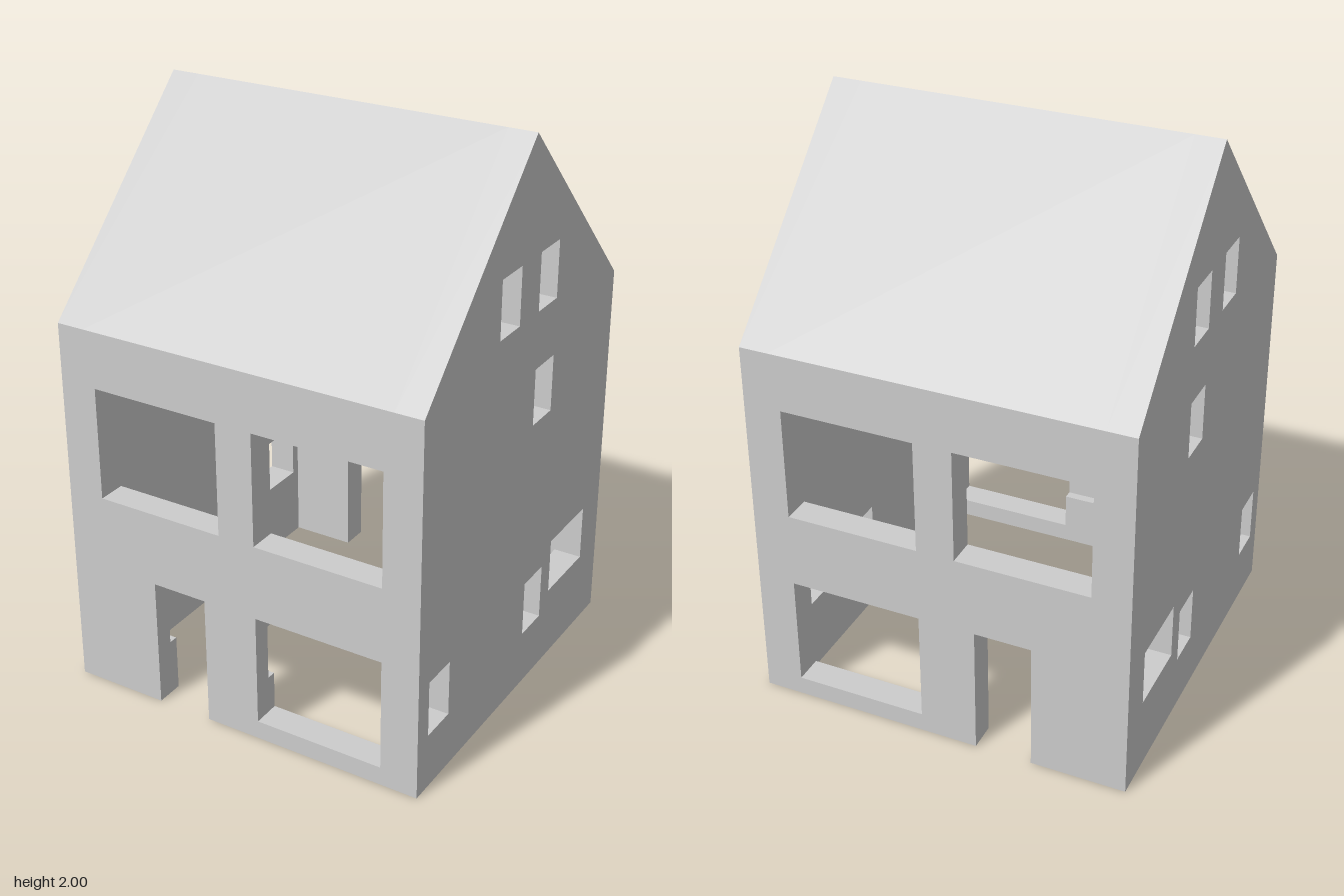
import * as THREE from 'three';

// Plan units: the house is 20 x 20 on plan and 30 high
const U = 1 / 15;
const HALF = 10, INNER = 8.5, EAVES = 20, RIDGE = 30;

const rect = (x0, y0, x1, y1) => [[x0, y0], [x1, y0], [x1, y1], [x0, y1]];
const points = (list) => list.map(([x, y]) => new THREE.Vector2(x * U, y * U));

// Slab with holes, extruded along z from z0 to z1
function slab(outline, holes, z0, z1) {
  const shape = new THREE.Shape(points(outline));
  for (const hole of holes) shape.holes.push(new THREE.Path(points(hole)));
  const geo = new THREE.ExtrudeGeometry(shape, { depth: (z1 - z0) * U, bevelEnabled: false });
  return geo.translate(0, 0, z0 * U);
}

// Slab drawn in the z-y plane, extruded along x from x0 to x1
const sideSlab = (outline, holes, x0, x1) =>
  slab(outline, holes, -x1, -x0).rotateY(-Math.PI / 2);

export function createModel() {
  const house = new THREE.Group();
  house.name = 'house';
  const plaster = new THREE.MeshStandardMaterial({ color: 0xcccccc });
  plaster.name = 'light grey plaster';

  const add = (name, geometry) => {
    const mesh = new THREE.Mesh(geometry, plaster);
    mesh.name = name;
    house.add(mesh);
  };

  // Openings: front and back share one set, the two gables another
  const upperWindows = [rect(-8, 11, -1, 17), rect(1, 11, 8, 17)];
  const groundWindow = rect(1, 1, 8, 7);
  const atticWindows = [rect(1, 21, 3, 24), rect(-3, 21, -1, 24)];
  const sideWindows = [rect(-3, 15, -1, 18), rect(7, 3, 9, 6), rect(-3, 3, -1, 6), rect(-8, 4, -4, 7)];

  // Gable walls
  const gable = [[-HALF, 0], [HALF, 0], [HALF, EAVES], [0, RIDGE], [-HALF, EAVES]];
  const gableHoles = [...atticWindows, ...sideWindows];
  add('leftGableWall', sideSlab(gable, gableHoles, INNER, HALF));
  add('rightGableWall', sideSlab(gable, gableHoles, -HALF, -INNER));

  // Solid roof block with window tunnels
  add('roof', sideSlab([[-HALF, EAVES], [HALF, EAVES], [0, RIDGE]], atticWindows, -INNER, INNER));

  // Front and back walls, with a doorway notch in the outline
  const wall = [[-INNER, 0], [-5, 0], [-5, 7], [-2, 7], [-2, 0], [INNER, 0], [INNER, EAVES], [-INNER, EAVES]];
  add('backWall', slab(wall, [...upperWindows, groundWindow], -HALF, -INNER));
  add('frontWall', slab(wall, [...upperWindows, groundWindow], 9, HALF));

  // Inner layer of the front wall, leaving a groove between heights 3 and 6
  add('frontWallLiningUpper', slab([
    [-INNER, 6], [-5, 6], [-5, 7], [-2, 7], [-2, 6], [1, 6], [1, 7], [8, 7], [8, 6],
    [INNER, 6], [INNER, EAVES], [-INNER, EAVES],
  ], upperWindows, INNER, 9));
  add('frontWallLiningByDoor', slab(rect(-INNER, 0, -5, 3), [], INNER, 9));
  add('frontWallLiningUnderWindow', slab([
    [-2, 0], [INNER, 0], [INNER, 3], [8, 3], [8, 1], [1, 1], [1, 3], [-2, 3],
  ], [], INNER, 9));

  return house;
}
